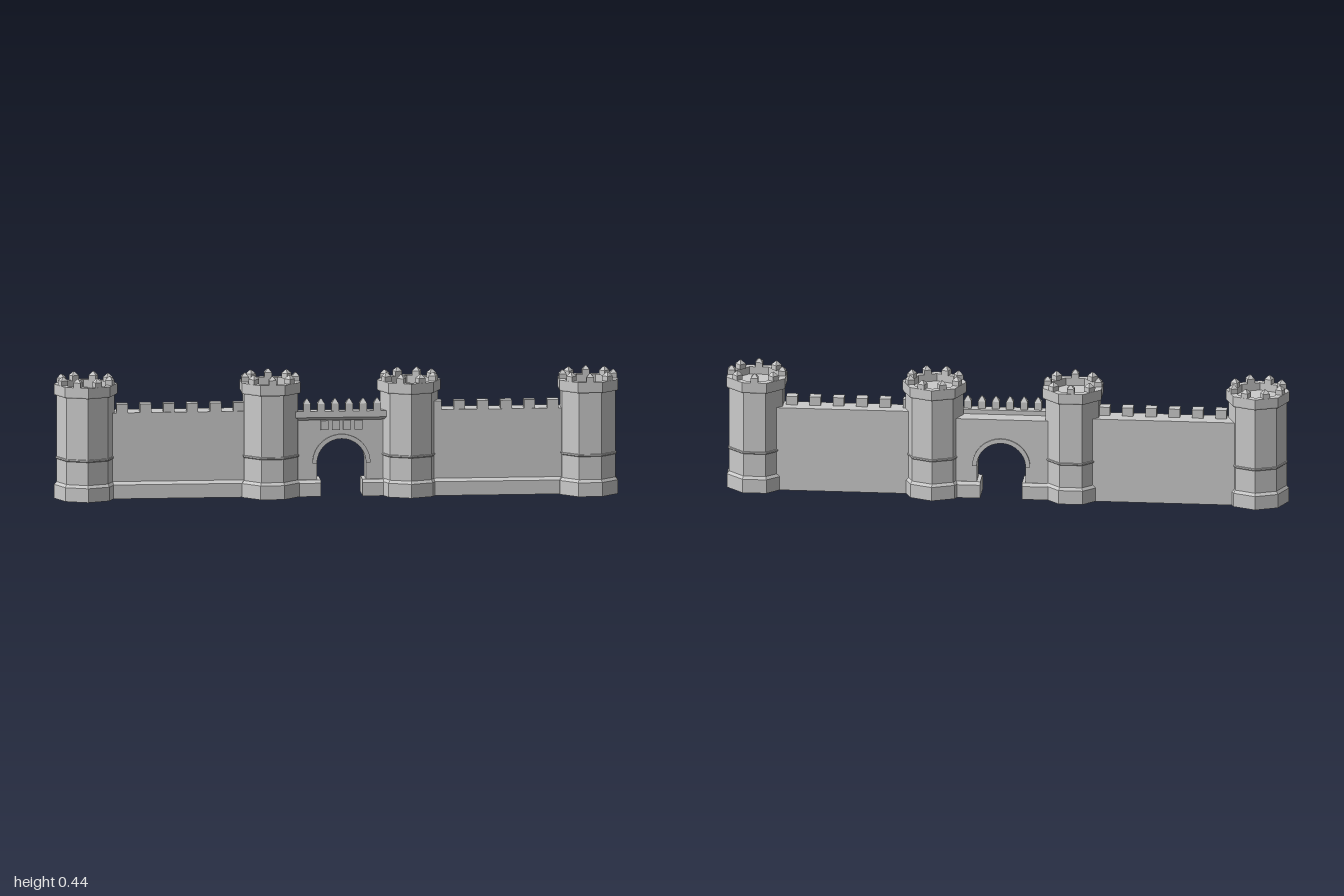
import * as THREE from 'three';

const mat = new THREE.MeshStandardMaterial({ color: 0xcccccc, flatShading: true, side: THREE.DoubleSide });

function add(parent, name, geometry, x = 0, y = 0, z = 0) {
  const mesh = new THREE.Mesh(geometry, mat);
  mesh.name = name;
  mesh.position.set(x, y, z);
  parent.add(mesh);
  return mesh;
}

const box = (parent, name, w, h, d, x, y0, z) =>
  add(parent, name, new THREE.BoxGeometry(w, h, d), x, y0 + h / 2, z);

// Square block with a blunt pyramid cap
function pointedMerlon(size, blockH, capH) {
  const g = new THREE.Group();
  g.name = 'pointedMerlon';
  box(g, 'merlonBlock', size, blockH, size, 0, 0, 0);
  const cap = new THREE.CylinderGeometry(size * 0.14, size * Math.SQRT1_2, capH, 4);
  cap.rotateY(Math.PI / 4);
  add(g, 'merlonCap', cap, 0, blockH + capH / 2, 0);
  return g;
}

// Prism along x from a list of [z, y] corners
function prismX(parent, name, profile, x0, x1) {
  const shape = new THREE.Shape(profile.map(([z, y]) => new THREE.Vector2(-z, y)));
  const geo = new THREE.ExtrudeGeometry(shape, { depth: x1 - x0, bevelEnabled: false });
  geo.rotateY(Math.PI / 2);
  return add(parent, name, geo, x0, 0, 0);
}

// Octagonal tower: base, string course, overhanging rim and recessed roof
const towerProfile = [
  [0.1115, 0], [0.1115, 0.05], [0.1034, 0.06], [0.1034, 0.142], [0.1066, 0.145], [0.1066, 0.15],
  [0.1034, 0.151], [0.1034, 0.37], [0.111, 0.371], [0.113, 0.376], [0.113, 0.41],
  [0.088, 0.41], [0.088, 0.383], [0, 0.383],
].map(([r, y]) => new THREE.Vector2(r, y));

function tower(x, z, turn) {
  const g = new THREE.Group();
  g.name = 'tower';
  add(g, 'towerBody', new THREE.LatheGeometry(towerProfile, 8));
  for (let i = 0; i < 8; i++) {
    const a = (i + 0.5) * Math.PI / 4;
    const m = pointedMerlon(0.026, 0.018, 0.013);
    m.position.set(Math.sin(a) * 0.09, 0.409, Math.cos(a) * 0.09);
    m.rotation.y = a;
    g.add(m);
  }
  g.position.set(x, 0, z);
  g.rotation.y = turn;
  return g;
}

// Curtain wall with a sloped plinth on the front and square merlons
function curtainWall(x0, x1, back, front, firstMerlon, count) {
  const g = new THREE.Group();
  g.name = 'curtainWall';
  const foot = front + 0.014;
  prismX(g, 'wall', [[back, 0], [foot, 0], [foot, 0.05], [front, 0.06], [front, 0.306], [back, 0.306]], x0, x1);
  for (let i = 0; i < count; i++)
    box(g, 'merlon', 0.04, 0.032, 0.038, firstMerlon + i * 0.083, 0.305, front - 0.021);
  return g;
}

function gatehouse() {
  const g = new THREE.Group();
  g.name = 'gatehouse';
  const cx = 0.02, spring = 0.117, r = 0.087, back = -0.06, front = 0.015;

  // Wall pierced by the round arch
  const s = new THREE.Shape();
  s.moveTo(-0.15, 0);
  s.lineTo(cx - r, 0);
  s.lineTo(cx - r, spring);
  s.absarc(cx, spring, r, Math.PI, 0, true);
  s.lineTo(cx + r, 0);
  s.lineTo(0.185, 0);
  s.lineTo(0.185, 0.29);
  s.lineTo(-0.15, 0.29);
  add(g, 'gateWall', new THREE.ExtrudeGeometry(s, { depth: front - back, bevelEnabled: false, curveSegments: 16 }), 0, 0, back);

  // Arch moulding on both faces
  const ring = new THREE.Shape();
  ring.absarc(cx, spring, 0.103, 0, Math.PI, false);
  ring.absarc(cx, spring, r, Math.PI, 0, true);
  for (const z of [back - 0.006, front - 0.002])
    add(g, 'archMoulding', new THREE.ExtrudeGeometry(ring, { depth: 0.008, bevelEnabled: false, curveSegments: 16 }), 0, 0, z);

  // Plinth blocks on each side of the passage
  const plinth = [[-0.072, 0], [0.036, 0], [0.036, 0.048], [0.024, 0.058], [-0.062, 0.058], [-0.072, 0.048]];
  prismX(g, 'gatePlinth', plinth, -0.15, -0.054);
  prismX(g, 'gatePlinth', plinth, 0.094, 0.185);

  // Overhanging parapet, corbels and merlons
  prismX(g, 'parapet', [[0.0, 0.272], [0.022, 0.272], [0.04, 0.284], [0.04, 0.306], [0.0, 0.306]], -0.145, 0.18);
  for (let i = 0; i < 4; i++)
    box(g, 'corbel', 0.028, 0.033, 0.016, -0.04 + i * 0.04, 0.237, 0.018);
  for (let i = 0; i < 6; i++) {
    const m = pointedMerlon(0.026, 0.028, 0.017);
    m.position.set(-0.104 + i * 0.05, 0.305, 0.026);
    g.add(m);
  }
  return g;
}

export function createModel() {
  const model = new THREE.Group();
  model.name = 'castleWall';
  const flat = Math.PI / 8;
  model.add(
    tower(-0.887, -0.008, 0),
    tower(-0.231, -0.01, flat),
    tower(0.262, -0.008, 0),
    tower(0.8955, 0.0175, flat),
    curtainWall(-0.83, -0.3, -0.07, 0.013, -0.758, 6),
    curtainWall(0.32, 0.83, -0.042, 0.036, 0.355, 6),
    gatehouse(),
  );
  return model;
}
